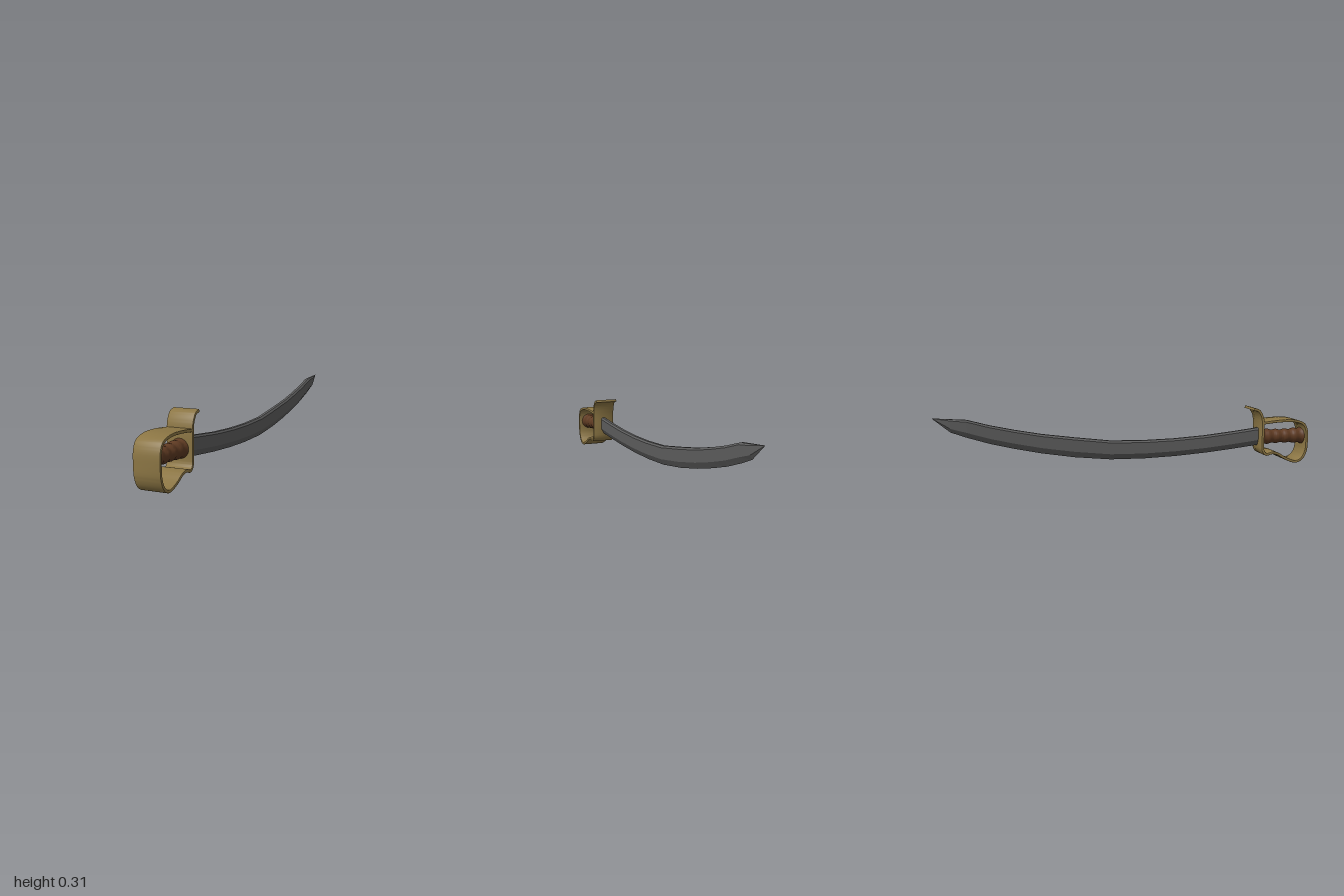
import * as THREE from 'three';
import { toCreasedNormals } from 'three/addons/utils/BufferGeometryUtils.js';

const brass = new THREE.MeshStandardMaterial({ color: 0x8c7644 });
brass.name = 'brass';
const leather = new THREE.MeshStandardMaterial({ color: 0x5e3a22 });
leather.name = 'brown leather';
const steel = new THREE.MeshStandardMaterial({ color: 0x5c5c5c });
steel.name = 'dark steel';

function part(name, geometry, material) {
  const mesh = new THREE.Mesh(geometry, material);
  mesh.name = name;
  return mesh;
}

// Hand guard: one bent strap, its path given as (z, y), widened along x
function guardGeometry() {
  const path = new THREE.CatmullRomCurve3([
    [0.738, 0.228], [0.83, 0.236], [0.92, 0.234], [0.972, 0.215], [0.99, 0.18],
    [0.993, 0.12], [0.988, 0.065], [0.966, 0.024], [0.93, 0.008], [0.87, 0.028],
    [0.82, 0.057], [0.79, 0.062], [0.755, 0.055], [0.737, 0.075], [0.733, 0.12],
    [0.733, 0.22], [0.725, 0.265], [0.705, 0.296], [0.678, 0.305],
  ].map(([z, y]) => new THREE.Vector3(z, y, 0)), false, 'centripetal');
  const steps = 110, half = 0.004, bevel = 0.003;
  const outer = [], inner = [];
  for (let i = 0; i <= steps; i++) {
    const p = path.getPoint(i / steps), t = path.getTangent(i / steps);
    outer.push(new THREE.Vector2(p.x - t.y * half, p.y + t.x * half));
    inner.unshift(new THREE.Vector2(p.x + t.y * half, p.y - t.x * half));
  }
  const depth = 0.13 - 2 * bevel;
  const g = new THREE.ExtrudeGeometry(new THREE.Shape([...outer, ...inner]), {
    depth, bevelEnabled: true, bevelSize: bevel, bevelThickness: bevel, bevelSegments: 2,
  });
  g.translate(0, 0, -depth / 2);
  g.rotateY(-Math.PI / 2);
  return toCreasedNormals(g, 0.7);
}

// Grip: turned handle with swelling rings
function gripGeometry() {
  const length = 0.258, rows = 50;
  const profile = [new THREE.Vector2(0, 0)];
  for (let i = 0; i <= rows; i++) {
    const t = i / rows;
    const r = 0.037 + 0.008 * (2 * t - 1) ** 2 + 0.0025 * Math.cos(t * Math.PI * 10);
    profile.push(new THREE.Vector2(r, t * length));
  }
  profile.push(new THREE.Vector2(0, length));
  const g = new THREE.LatheGeometry(profile, 28);
  g.rotateX(Math.PI / 2);
  g.translate(0, 0.145, 0.732);
  return toCreasedNormals(g, 0.8);
}

// Blade: six-sided sections with a chamfered spine and a sharp lower edge
function bladeGeometry() {
  // z, spine height, edge height, half width
  const stations = [
    [0.735, 0.197, 0.1, 0.016], [0.58, 0.179, 0.083, 0.016], [0.42, 0.163, 0.068, 0.016],
    [0.25, 0.153, 0.057, 0.016], [0.08, 0.15, 0.052, 0.016], [-0.1, 0.155, 0.055, 0.016],
    [-0.29, 0.179, 0.075, 0.016], [-0.46, 0.203, 0.103, 0.016], [-0.6, 0.23, 0.133, 0.016],
    [-0.72, 0.257, 0.163, 0.016], [-0.83, 0.288, 0.198, 0.016], [-0.91, 0.294, 0.228, 0.013],
    [-0.995, 0.301, 0.299, 0.0004],
  ];
  const rings = stations.map(([z, top, bottom, w]) => {
    const h = top - bottom;
    return [
      [0, bottom], [w, bottom + h * 0.3], [w, top - h * 0.1],
      [w * 0.5, top], [-w * 0.5, top], [-w, top - h * 0.1], [-w, bottom + h * 0.3],
    ].map(([x, y]) => [x, y, z]);
  });
  const pos = [], n = 7;
  const tri = (a, b, c) => pos.push(...a, ...b, ...c);
  for (let i = 0; i < rings.length - 1; i++) {
    for (let j = 0; j < n; j++) {
      const k = (j + 1) % n, a = rings[i], b = rings[i + 1];
      tri(a[j], b[j], a[k]);
      tri(a[k], b[j], b[k]);
    }
  }
  // End caps
  const first = rings[0], last = rings[rings.length - 1];
  for (let j = 1; j < n - 1; j++) {
    tri(first[0], first[j], first[j + 1]);
    tri(last[0], last[j + 1], last[j]);
  }
  const g = new THREE.BufferGeometry();
  g.setAttribute('position', new THREE.Float32BufferAttribute(pos, 3));
  g.computeVertexNormals();
  return g;
}

export function createModel() {
  const sword = new THREE.Group();
  sword.name = 'curvedSword';
  sword.add(
    part('handGuard', guardGeometry(), brass),
    part('grip', gripGeometry(), leather),
    part('blade', bladeGeometry(), steel),
  );
  return sword;
}
